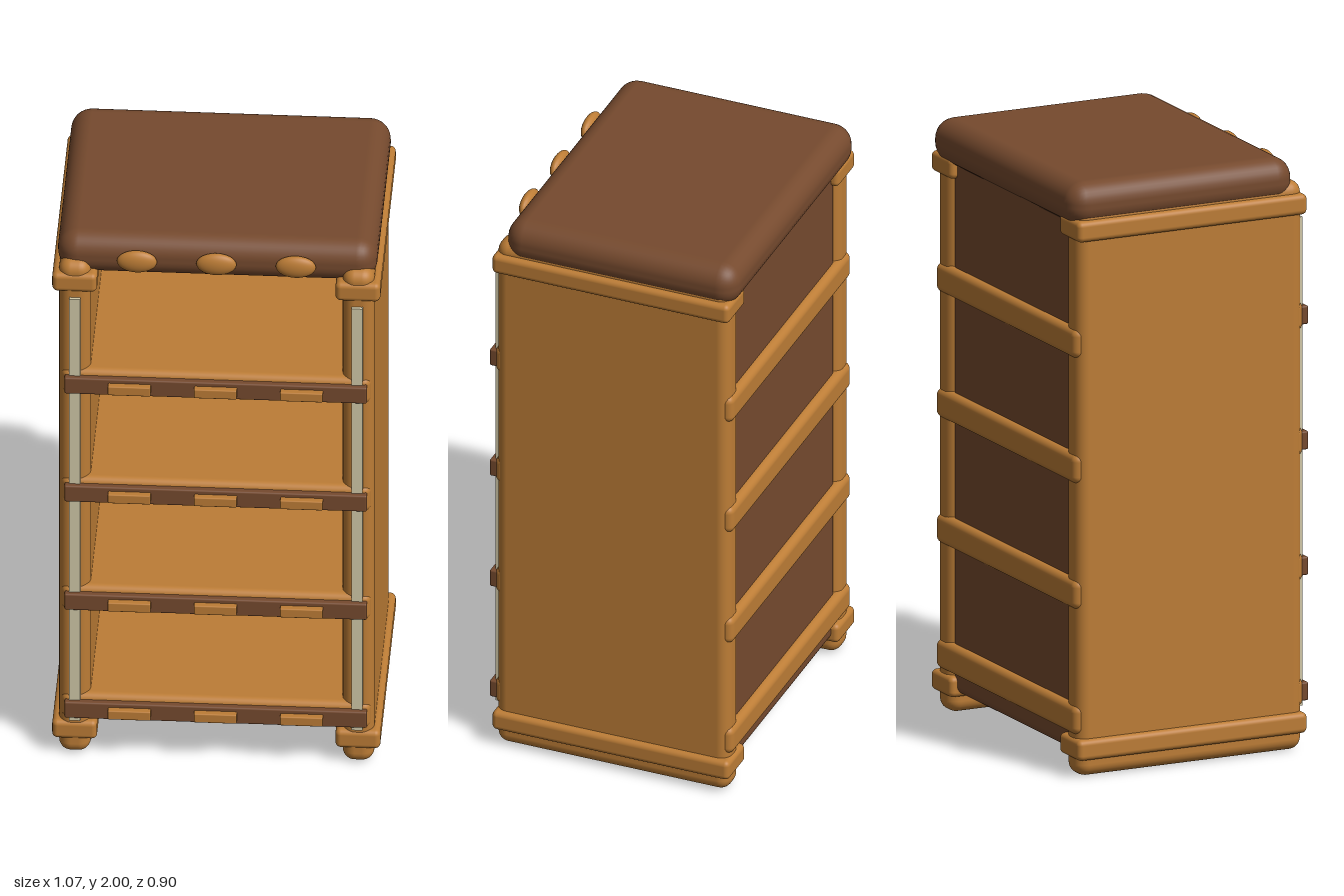
import * as THREE from 'three';
import { RoundedBoxGeometry } from 'three/addons/geometries/RoundedBoxGeometry.js';

export function createModel() {
  const group = new THREE.Group();
  const material = (name, color) => {
    const m = new THREE.MeshStandardMaterial({ color });
    m.name = name;
    return m;
  };
  const wood = material('honey wood', 0xbd7d36);
  const dark = material('dark wood', 0x764a2e);
  const pale = material('pale strip', 0xd2c9a8);

  const add = (name, geometry, mat, x = 0, y = 0, z = 0) => {
    const mesh = new THREE.Mesh(geometry, mat);
    mesh.name = name;
    mesh.position.set(x, y, z);
    group.add(mesh);
    return mesh;
  };
  // Rounded block given by its extents on each axis
  const block = (name, mat, [x0, x1], [y0, y1], [z0, z1], r) =>
    add(name, new RoundedBoxGeometry(x1 - x0, y1 - y0, z1 - z0, 4, r), mat,
      (x0 + x1) / 2, (y0 + y1) / 2, (z0 + z1) / 2);

  // Cushion-like top and back panel
  block('top', dark, [-0.523, 0.523], [1.85, 2], [-0.45, 0.372], 0.068);
  block('backPanel', dark, [-0.43, 0.43], [0.07, 1.9], [-0.41, -0.34], 0.03);

  for (const s of [-1, 1]) {
    const span = (a, b) => (s > 0 ? [a, b] : [-b, -a]);
    // Side panel, whose rounded ends form the foot and the top knob
    block('sidePanel', wood, span(0.412, 0.516), [0, 1.92], [-0.425, 0.4], 0.04);
    for (const y of [0.095, 1.845])
      block('sideBand', wood, span(0.39, 0.537), [y - 0.035, y + 0.035], [-0.436, 0.405], 0.018);
    // Pale strip along the front edge
    add('frontStrip', new THREE.BoxGeometry(0.036, 1.65, 0.02), pale, s * 0.462, 0.965, 0.402);
  }

  // Shelves with a dark front trim and three pegs
  for (const y of [0.19, 0.613, 1.037, 1.46]) {
    block('shelf', wood, [-0.506, 0.506], [y - 0.05, y + 0.05], [-0.436, 0.408], 0.025);
    block('shelfTrim', dark, [-0.495, 0.495], [y - 0.031, y + 0.031], [0.4, 0.428], 0.006);
    for (const x of [-0.282, 0, 0.282])
      block('trimPeg', wood, [x - 0.07, x + 0.07], [y - 0.017, y + 0.017], [0.42, 0.45], 0.004);
  }

  // Oval studs on the front of the top
  for (const x of [-0.26, 0, 0.26])
    add('topStud', new THREE.SphereGeometry(1, 24, 16), wood, x, 1.93, 0.386).scale.set(0.066, 0.04, 0.023);

  return group;
}
